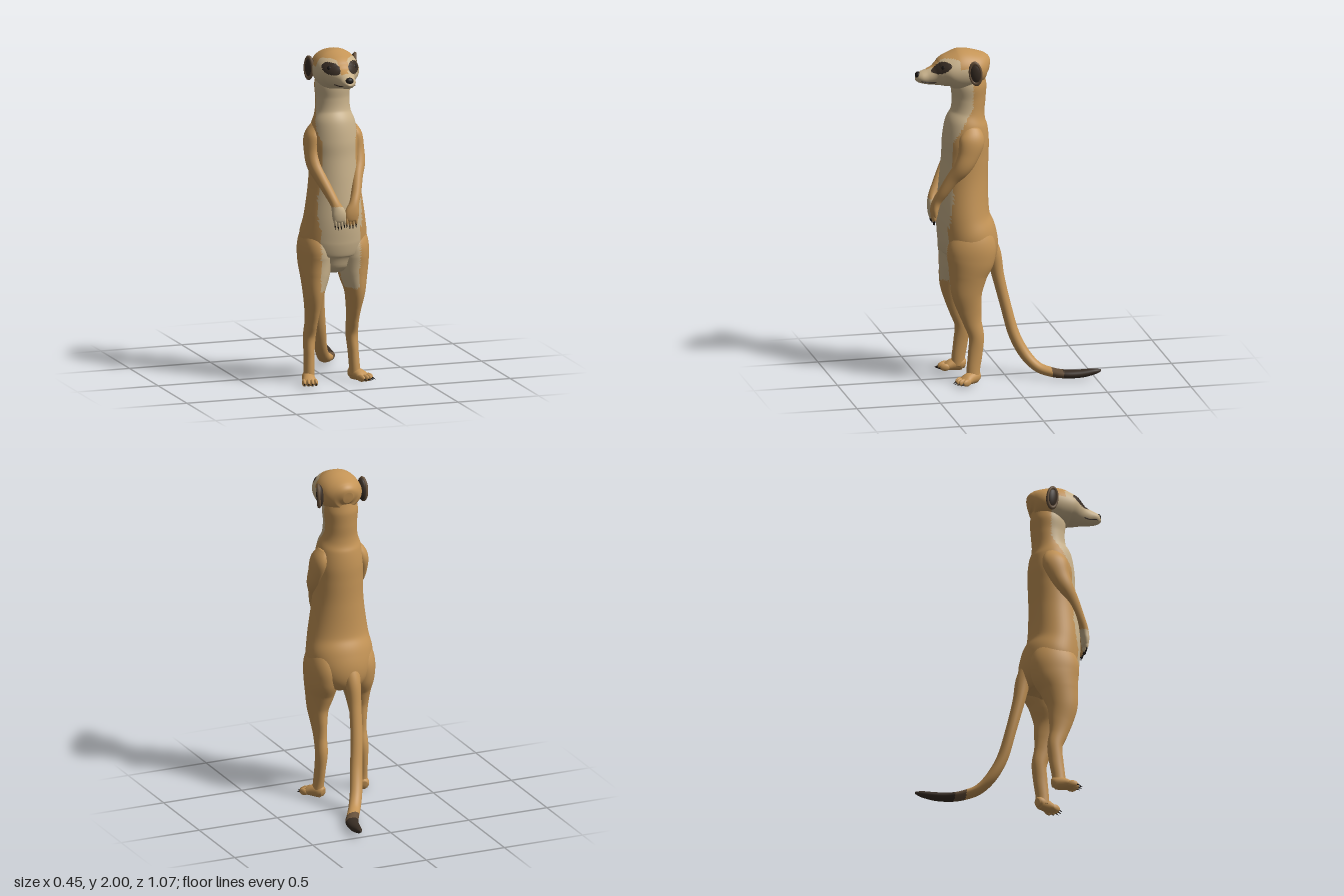
import * as THREE from 'three';

const mat = (name, color) => {
  const m = new THREE.MeshStandardMaterial({ color });
  m.name = name;
  return m;
};

export function createModel() {
  const root = new THREE.Group();
  root.name = 'meerkat';
  const tan = mat('tanFur', 0xc49456);
  const cream = mat('creamFur', 0xc9b28b);
  const dark = mat('darkBrownFur', 0x382d24);
  const brown = mat('midBrownFur', 0x66503a);
  const black = mat('black', 0x1d1815);
  const palette = [tan, cream, dark, brown];
  const TAN = 0, CREAM = 1, DARK = 2, BROWN = 3;

  const add = (parent, name, geo, material, pos = [0, 0, 0], scale = [1, 1, 1], rot = [0, 0, 0]) => {
    const m = new THREE.Mesh(geo, material);
    m.name = name;
    m.position.set(...pos);
    m.scale.set(...scale);
    m.rotation.set(...rot);
    parent.add(m);
    return m;
  };

  // Smooth skin through elliptical sections [x, y, z, radiusA, radiusB];
  // paint(x, y, z) picks the palette index of each triangle.
  const loft = (parent, name, sections, paint = () => TAN, rings = 60, sides = 40) => {
    const path = new THREE.CatmullRomCurve3(
      sections.map(s => new THREE.Vector3(s[0], s[1], s[2])), false, 'catmullrom', 0.5);
    const size = new THREE.CatmullRomCurve3(
      sections.map(s => new THREE.Vector3(s[3], s[4], 0)), false, 'catmullrom', 0.5);
    const pos = [], tris = [];
    for (let i = 0; i <= rings; i++) {
      const t = i / rings, c = path.getPoint(t), r = size.getPoint(t), T = path.getTangent(t);
      const U = new THREE.Vector3(1, 0, 0).addScaledVector(T, -T.x).normalize();
      const V = T.clone().cross(U);
      for (let j = 0; j < sides; j++) {
        const a = j / sides * Math.PI * 2;
        const p = c.clone().addScaledVector(U, r.x * Math.cos(a)).addScaledVector(V, r.y * Math.sin(a));
        pos.push(p.x, p.y, p.z);
      }
    }
    const first = pos.length / 3, n = rings * sides;
    pos.push(...path.getPoint(0).toArray(), ...path.getPoint(1).toArray());
    for (let j = 0; j < sides; j++) {
      const k = (j + 1) % sides;
      tris.push([first, k, j], [first + 1, n + j, n + k]);
      for (let i = 0; i < rings; i++) {
        const a = i * sides + j, b = i * sides + k;
        tris.push([a, b, a + sides], [b, b + sides, a + sides]);
      }
    }
    const buckets = palette.map(() => []);
    for (const t of tris) {
      const mid = [0, 1, 2].map(k => t.reduce((s, v) => s + pos[v * 3 + k], 0) / 3);
      buckets[paint(...mid)].push(...t);
    }
    const geo = new THREE.BufferGeometry();
    geo.setAttribute('position', new THREE.Float32BufferAttribute(pos, 3));
    geo.setIndex(buckets.flat());
    let start = 0;
    buckets.forEach((b, i) => {
      if (b.length) geo.addGroup(start, b.length, i);
      start += b.length;
    });
    geo.computeVertexNormals();
    return add(parent, name, geo, palette);
  };

  // Cream bib and belly
  const bib = (x, y, z) => {
    if (y < 0.57) return TAN;
    if (y < 0.95) return Math.abs(x) < 0.12 && z > 0.26 ? CREAM : TAN;
    const edge = y < 1.45 ? 0.335 : Math.max(0.21, 0.335 - (y - 1.45) * 0.6);
    return z > edge && Math.abs(x) < 0.135 ? CREAM : TAN;
  };

  // Torso and neck: [y, centre z, half width, half depth]
  loft(root, 'body', [
    [0.66, 0.22, 0.05, 0.05], [0.7, 0.22, 0.12, 0.12], [0.78, 0.21, 0.18, 0.165],
    [0.88, 0.228, 0.2, 0.172], [1.0, 0.25, 0.182, 0.155], [1.2, 0.247, 0.153, 0.143],
    [1.35, 0.238, 0.145, 0.138], [1.45, 0.235, 0.145, 0.137], [1.55, 0.232, 0.13, 0.124],
    [1.62, 0.222, 0.106, 0.1], [1.7, 0.215, 0.1, 0.099], [1.78, 0.215, 0.105, 0.104],
    [1.85, 0.21, 0.09, 0.09]
  ].map(([y, z, a, b]) => [0, y, z, a, b]), bib, 110, 56);

  // Head with eye patches, pale brows and cheeks
  const face = (x, y, z) => {
    const d = Math.hypot((Math.abs(x) - 0.069) / 0.043, (y - 1.907) / 0.035);
    if (z > 0.33 && d < 1) return DARK;
    if (z > 0.29 && d < 1.5 && Math.abs(x) > 0.03) return CREAM;
    if (z > 0.38) return y > 1.865 && x < 0.012 && z < 0.47 ? TAN : y > 1.9 ? TAN : CREAM;
    return y > 1.905 || z < 0.21 ? TAN : CREAM;
  };
  loft(root, 'head', [
    [0.098, 1.88, 0.03, 0.035], [0.12, 1.885, 0.08, 0.075], [0.16, 1.885, 0.115, 0.095],
    [0.22, 1.88, 0.13, 0.116], [0.28, 1.875, 0.132, 0.121], [0.34, 1.87, 0.122, 0.1],
    [0.385, 1.857, 0.095, 0.078], [0.42, 1.848, 0.068, 0.06], [0.46, 1.842, 0.052, 0.048],
    [0.5, 1.84, 0.045, 0.036], [0.522, 1.842, 0.03, 0.026], [0.53, 1.845, 0.012, 0.012]
  ].map(([z, y, a, b]) => [0, y, z, a, b]), face, 130, 80);

  const ball = new THREE.SphereGeometry(1, 24, 16);
  add(root, 'nose', ball, black, [0, 1.853, 0.518], [0.025, 0.021, 0.018]);
  const mouth = new THREE.CatmullRomCurve3([
    [-0.058, 1.817, 0.42], [-0.044, 1.815, 0.46], [-0.038, 1.822, 0.5], [0, 1.82, 0.518],
    [0.038, 1.822, 0.5], [0.044, 1.815, 0.46], [0.058, 1.817, 0.42]
  ].map(p => new THREE.Vector3(...p)));
  add(root, 'mouth', new THREE.TubeGeometry(mouth, 40, 0.0035, 6), dark);

  const claw = new THREE.ConeGeometry(0.007, 0.034, 8);
  for (const s of [1, -1]) {
    const side = s > 0 ? 'left' : 'right';
    add(root, side + 'Eye', ball, black, [s * 0.072, 1.905, 0.376], [0.02, 0.02, 0.02]);

    // Cupped ear with a paler rim
    const ear = new THREE.Group();
    ear.name = side + 'Ear';
    ear.position.set(s * 0.134, 1.88, 0.203);
    ear.rotation.set(0.1, s * -0.35, 0);
    add(ear, 'earCup', ball, dark, [0, 0, 0], [0.022, 0.066, 0.036]);
    add(ear, 'earRim', new THREE.TorusGeometry(1, 0.2, 10, 32), brown,
      [s * 0.008, 0, 0], [0.034, 0.063, 0.05], [0, Math.PI / 2, 0]);
    root.add(ear);

    // Arm folded forward, with the hand hanging in front of the belly
    const dx = 0.006;
    const hand = (x, y) => s < 0 && y < 1.09 ? CREAM : TAN;
    loft(root, side + 'Arm', [
      [0.1, 1.54, 0.22, 0.03, 0.05], [0.126, 1.47, 0.225, 0.048, 0.075],
      [0.137, 1.38, 0.25, 0.044, 0.062], [0.134, 1.31, 0.285, 0.042, 0.052],
      [0.11, 1.24, 0.335, 0.035, 0.041], [0.082, 1.16, 0.385, 0.03, 0.032],
      [0.058, 1.1, 0.418, 0.029, 0.027], [0.042, 1.05, 0.43, 0.042, 0.024],
      [0.036, 1.01, 0.432, 0.04, 0.019], [0.035, 0.995, 0.432, 0.026, 0.012]
    ].map(([x, y, z, a, b]) => [s * x + (y < 1.2 ? dx : 0), y, z, a, b]), hand, 60, 28);
    for (let i = 0; i < 4; i++) {
      const x = s * 0.036 + dx + (i - 1.5) * 0.019;
      const drop = i === 0 || i === 3 ? 0.008 : 0;
      add(root, side + 'Finger', ball, s < 0 ? cream : tan, [x, 0.997 + drop, 0.434], [0.0095, 0.03, 0.012]);
      add(root, side + 'FingerClaw', claw, black, [x, 0.962 + drop, 0.434], [1, 1, 1], [Math.PI, 0, 0]);
    }

    // Leg, the left one standing slightly further in and back
    const lx = s > 0 ? -0.016 : 0, lz = s > 0 ? -0.014 : 0.008;
    loft(root, side + 'Leg', [
      [0.1, 0.98, 0.23, 0.06, 0.08], [0.113, 0.85, 0.225, 0.092, 0.14],
      [0.114, 0.75, 0.23, 0.096, 0.143], [0.121, 0.65, 0.25, 0.083, 0.114],
      [0.134, 0.55, 0.262, 0.06, 0.092], [0.138, 0.45, 0.25, 0.043, 0.072],
      [0.14, 0.37, 0.235, 0.036, 0.055], [0.143, 0.28, 0.212, 0.036, 0.045],
      [0.148, 0.18, 0.22, 0.031, 0.043], [0.152, 0.09, 0.232, 0.031, 0.04],
      [0.155, 0.03, 0.236, 0.033, 0.04]
    ].map(([x, y, z, a, b]) => {
      const low = THREE.MathUtils.clamp((0.75 - y) / 0.35, 0, 1);
      return [s * (x + lx * low), y, z + lz * low, a, b];
    }), bib, 80, 40);

    // Foot with four clawed toes
    const foot = new THREE.Group();
    foot.name = side + 'Foot';
    foot.position.set(s > 0 ? 0.14 : -0.158, 0, s > 0 ? 0.22 : 0.24);
    foot.rotation.y = s > 0 ? 0.5 : -0.2;
    loft(foot, 'footPad', [
      [0, 0.035, -0.042, 0.02, 0.022], [0, 0.04, -0.02, 0.033, 0.038], [0, 0.036, 0.03, 0.038, 0.035],
      [0, 0.027, 0.065, 0.042, 0.025], [0, 0.02, 0.092, 0.03, 0.014]
    ], undefined, 20, 24);
    for (let i = 0; i < 4; i++) {
      const x = (i - 1.5) * 0.023, z = i === 0 || i === 3 ? 0.078 : 0.09;
      add(foot, 'toe', ball, tan, [x, 0.025, z], [0.0125, 0.021, 0.03]);
      add(foot, 'toeClaw', claw, black, [x, 0.019, z + 0.034], [1, 1, 1], [Math.PI / 2 + 0.3, 0, 0]);
    }
    root.add(foot);
  }

  // Tail sweeping back to the left, with a brown band and dark tip
  loft(root, 'tail', [
    [-0.012, 0.84, 0.12, 0.06, 0.06], [-0.014, 0.74, 0.065, 0.046, 0.046],
    [-0.015, 0.6, 0.035, 0.037, 0.036], [-0.005, 0.42, -0.008, 0.036, 0.032],
    [0.018, 0.25, -0.052, 0.037, 0.033], [0.046, 0.13, -0.112, 0.037, 0.033],
    [0.086, 0.06, -0.178, 0.036, 0.03], [0.13, 0.036, -0.25, 0.036, 0.028],
    [0.167, 0.03, -0.32, 0.038, 0.025], [0.188, 0.032, -0.41, 0.032, 0.024],
    [0.202, 0.044, -0.49, 0.02, 0.018], [0.206, 0.05, -0.53, 0.006, 0.006]
  ], (x, y, z) => z < -0.31 ? DARK : z < -0.25 ? BROWN : TAN, 100, 28);

  return root;
}
